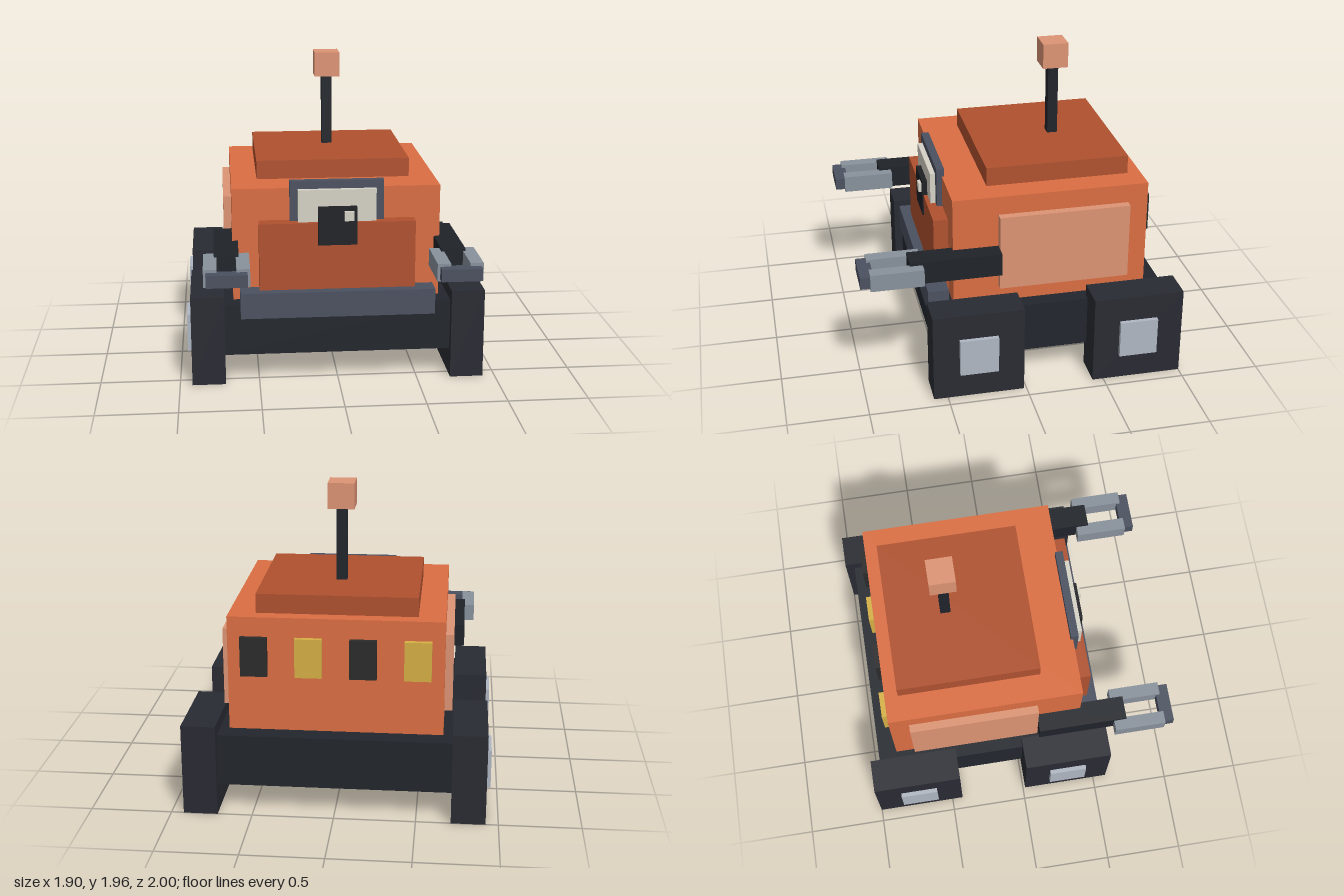
import * as THREE from 'three';

const COLORS = {
  body: 0xdb6e42, rust: 0xb0512f, peach: 0xdd9474, tyre: 0x292b33, chassis: 0x22262d,
  arm: 0x1f2329, slate: 0x4b5160, steel: 0x88919c, hub: 0xb0b7c2, cream: 0xd6d2c6,
  black: 0x1e2024, yellow: 0xd6b045, darkGlass: 0x2b2b2b,
};

export function createModel() {
  const root = new THREE.Group();
  const materials = {};
  for (const key in COLORS) materials[key] = new THREE.MeshStandardMaterial({ color: COLORS[key] });

  // Box given by its extents on each axis
  function box(name, color, [x0, x1], [y0, y1], [z0, z1], parent = root) {
    const mesh = new THREE.Mesh(new THREE.BoxGeometry(x1 - x0, y1 - y0, z1 - z0), materials[color]);
    mesh.position.set((x0 + x1) / 2, (y0 + y1) / 2, (z0 + z1) / 2);
    mesh.name = name;
    parent.add(mesh);
    return mesh;
  }

  // Chassis, cabin and roof
  box('chassis', 'chassis', [-0.755, 0.755], [0.175, 0.5], [-0.945, 0.535]);
  box('frontBumper', 'slate', [-0.612, 0.612], [0.42, 0.585], [0.43, 0.562]);
  box('cabin', 'body', [-0.655, 0.655], [0.5, 1.22], [-0.825, 0.408]);
  box('roof', 'rust', [-0.49, 0.49], [1.22, 1.34], [-0.74, 0.163]);
  box('frontPanel', 'rust', [-0.49, 0.49], [0.5, 1.015], [0.4, 0.5]);

  // Antenna
  box('antennaMast', 'arm', [-0.033, 0.033], [1.34, 1.8], [-0.4, -0.335]);
  box('antennaTip', 'peach', [-0.082, 0.082], [1.8, 1.96], [-0.45, -0.288]);

  // Eye on the front
  const eye = new THREE.Group();
  eye.name = 'eye';
  root.add(eye);
  box('eyeFrame', 'slate', [-0.295, 0.295], [0.72, 1.27], [0.392, 0.442], eye);
  box('eyeLens', 'cream', [-0.245, 0.245], [0.77, 1.22], [0.44, 0.475], eye);
  box('pupil', 'black', [-0.122, 0.122], [0.872, 1.115], [0.475, 0.508], eye);
  box('eyeHighlight', 'cream', [0.042, 0.102], [1.03, 1.09], [0.505, 0.527], eye);

  // Row of lamps across the back
  [-0.495, -0.167, 0.163, 0.493].forEach((x, i) => {
    box('rearLamp', i % 2 ? 'darkGlass' : 'yellow', [x - 0.082, x + 0.082], [0.855, 1.1], [-0.863, -0.831]);
  });

  // Mirrored parts on both sides
  for (const [side, s] of [['left', 1], ['right', -1]]) {
    const mirrored = (a, b) => (s > 0 ? [a, b] : [-b, -a]);
    box(side + 'SidePanel', 'peach', mirrored(0.64, 0.705), [0.61, 1.1], [-0.7, 0.123]);

    // Wheels with hubs
    for (const [end, z] of [['Front', 0.303], ['Back', -0.715]]) {
      const wheel = new THREE.Group();
      wheel.name = side + end + 'Wheel';
      root.add(wheel);
      box('tyre', 'tyre', mirrored(0.713, 0.923), [0, 0.575], [z - 0.287, z + 0.285], wheel);
      box('hub', 'hub', mirrored(0.9, 0.95), [0.168, 0.41], [z - 0.121, z + 0.121], wheel);
    }

    // Arm with a gripper
    const arm = new THREE.Group();
    arm.name = side + 'Arm';
    root.add(arm);
    box('forearm', 'arm', mirrored(0.62, 0.77), [0.742, 0.887], [0.123, 0.693], arm);
    box('innerFinger', 'steel', mirrored(0.557, 0.638), [0.76, 0.87], [0.613, 0.94], arm);
    box('outerFinger', 'steel', mirrored(0.755, 0.835), [0.76, 0.87], [0.613, 0.94], arm);
    box('gripperTip', 'slate', mirrored(0.573, 0.82), [0.775, 0.852], [0.917, 1], arm);
  }

  return root;
}
